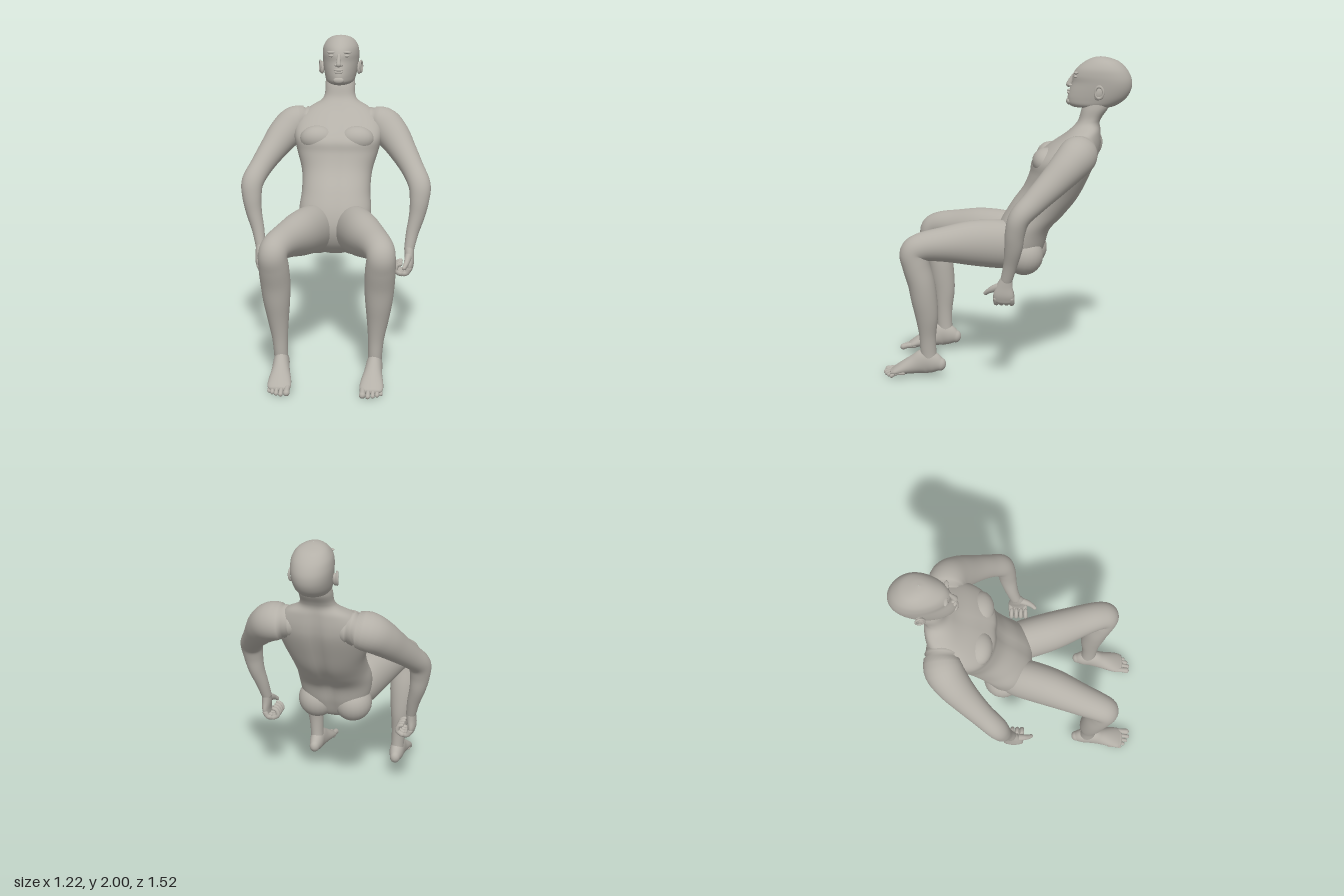
import * as THREE from 'three';

const skin = new THREE.MeshStandardMaterial({ color: 0xb4b0a8 });
skin.name = 'warm grey';
const SIDES = 32;
const V = (x, y, z) => new THREE.Vector3(x, y, z);

// Closed smooth surface through equal rings of points
function skinRings(rings) {
  const pos = [], idx = [], n = rings[0].length;
  rings.forEach(r => r.forEach(p => pos.push(p.x, p.y, p.z)));
  for (let i = 0; i < rings.length - 1; i++) {
    for (let j = 0; j < n; j++) {
      const a = i * n + j, b = i * n + (j + 1) % n;
      idx.push(a, b, b + n, a, b + n, a + n);
    }
  }
  const g = new THREE.BufferGeometry();
  g.setAttribute('position', new THREE.Float32BufferAttribute(pos, 3));
  g.setIndex(idx);
  g.computeVertexNormals();
  return g;
}

// Spline interpolation of rows of numbers
function smoothRows(rows, steps) {
  const out = [], at = i => rows[Math.max(0, Math.min(rows.length - 1, i))];
  for (let i = 0; i < rows.length - 1; i++) {
    for (let k = 0; k < steps; k++) {
      const t = k / steps;
      out.push(rows[i].map((_, c) => {
        const [p, q, r, s] = [-1, 0, 1, 2].map(o => at(i + o)[c]);
        return q + 0.5 * t * (r - p + t * (2 * p - 5 * q + 4 * r - s + t * (3 * (q - r) + s - p)));
      }));
    }
  }
  out.push(rows[rows.length - 1]);
  return out;
}

// Limb along a path; rows are [x, y, z, sideRadius, otherRadius], ends rounded
function limb(rows, steps = 5, sides = SIDES) {
  const s = smoothRows(rows, steps), rings = [];
  const ring = (c, t, a, b) => {
    const n1 = V(1, 0, 0).addScaledVector(t, -t.x).normalize();
    const n2 = t.clone().cross(n1);
    rings.push(Array.from({ length: sides }, (_, j) => {
      const th = j / sides * Math.PI * 2;
      return c.clone().addScaledVector(n1, a * Math.cos(th)).addScaledVector(n2, b * Math.sin(th));
    }));
  };
  s.forEach((r, i) => {
    const p = s[Math.max(0, i - 1)], q = s[Math.min(s.length - 1, i + 1)];
    const t = V(q[0] - p[0], q[1] - p[1], q[2] - p[2]).normalize();
    const c = V(r[0], r[1], r[2]), h = Math.min(r[3], r[4]);
    const cap = (k, d) => {
      const w = k / 5 * Math.PI / 2, m = Math.max(Math.cos(w), 0.001);
      ring(c.clone().addScaledVector(t, d * h * Math.sin(w)), t, r[3] * m, r[4] * m);
    };
    if (i === 0) for (let k = 5; k > 0; k--) cap(k, -1);
    ring(c, t, r[3], r[4]);
    if (i === s.length - 1) for (let k = 1; k <= 5; k++) cap(k, 1);
  });
  return skinRings(rings);
}

// Body from rows [frontY, frontZ, backY, backZ, halfWidth]
function body(rows, { taper = 0, square = 1, frontGroove = 0, backGroove = 0 }) {
  const pw = v => Math.sign(v) * Math.abs(v) ** square, n = 64;
  return skinRings(smoothRows(rows, 6).map(([fy, fz, by, bz, w]) =>
    Array.from({ length: n }, (_, j) => {
      const th = j / n * Math.PI * 2, f = -pw(Math.sin(th));
      const x = w * pw(Math.cos(th)) * (1 - taper * f);
      const groove = Math.exp(-((x / 0.035) ** 2)) * Math.min(1, w / 0.2);
      const k = f - (f > 0 ? frontGroove : -backGroove) * groove;
      return V(x, (fy + by) / 2 + k * (fy - by) / 2, (fz + bz) / 2 + k * (fz - bz) / 2);
    })));
}

export function createModel() {
  const model = new THREE.Group();
  model.name = 'seatedFigure';
  const add = (name, geo, parent = model) => {
    const m = new THREE.Mesh(geo, skin);
    m.name = name;
    parent.add(m);
    return m;
  };
  const blob = (name, x, y, z, rx, ry, rz, tilt = 0) => {
    const m = add(name, new THREE.SphereGeometry(1, 24, 16));
    m.position.set(x, y, z);
    m.scale.set(rx, ry, rz);
    m.rotation.x = tilt;
  };

  // Leaning torso and neck
  add('torso', body([
    [0.655, -0.08, 0.655, -0.11, 0.002], [0.67, -0.03, 0.67, -0.15, 0.09],
    [0.74, 0.04, 0.71, -0.19, 0.17], [0.84, 0.075, 0.80, -0.23, 0.215],
    [0.95, 0.055, 0.92, -0.27, 0.23], [1.07, -0.01, 1.02, -0.36, 0.22],
    [1.19, -0.095, 1.13, -0.445, 0.228], [1.29, -0.14, 1.26, -0.51, 0.262],
    [1.37, -0.16, 1.38, -0.56, 0.285], [1.45, -0.25, 1.46, -0.575, 0.27],
    [1.52, -0.35, 1.54, -0.575, 0.205], [1.565, -0.40, 1.59, -0.57, 0.125],
    [1.61, -0.435, 1.63, -0.585, 0.1], [1.68, -0.455, 1.69, -0.625, 0.098],
    [1.74, -0.48, 1.75, -0.64, 0.09],
  ], { square: 0.88, frontGroove: 0.04, backGroove: 0.1 }));

  // Head
  add('head', body([
    [1.69, -0.45, 1.69, -0.55, 0.002], [1.69, -0.41, 1.69, -0.60, 0.06],
    [1.71, -0.374, 1.70, -0.66, 0.088], [1.745, -0.368, 1.74, -0.72, 0.102],
    [1.79, -0.378, 1.79, -0.753, 0.112], [1.84, -0.395, 1.84, -0.762, 0.118],
    [1.885, -0.4, 1.885, -0.752, 0.119], [1.93, -0.425, 1.93, -0.725, 0.111],
    [1.97, -0.475, 1.97, -0.68, 0.085], [1.992, -0.52, 1.992, -0.62, 0.046],
    [2.0, -0.567, 2.0, -0.569, 0.001],
  ], { taper: 0.16 }));

  // Face
  add('nose', limb([[0, 1.885, -0.405, 0.011, 0.01], [0, 1.852, -0.388, 0.014, 0.016],
    [0, 1.828, -0.376, 0.018, 0.017]], 4, 20));
  blob('upperLip', 0, 1.792, -0.379, 0.032, 0.007, 0.013);
  blob('lowerLip', 0, 1.778, -0.377, 0.028, 0.008, 0.013);
  blob('chin', 0, 1.725, -0.378, 0.035, 0.022, 0.018);

  for (const s of [1, -1]) {
    const side = s > 0 ? 'left' : 'right';
    const mirror = rows => rows.map(([x, ...r]) => [x * s, ...r]);
    const part = (name, rows, steps, sides) => add(side + name, limb(mirror(rows), steps, sides));

    blob(side + 'Nostril', s * 0.017, 1.824, -0.386, 0.011, 0.009, 0.013);
    blob(side + 'Eye', s * 0.048, 1.879, -0.421, 0.02, 0.009, 0.012);
    blob(side + 'Brow', s * 0.05, 1.902, -0.424, 0.03, 0.009, 0.014);
    blob(side + 'Ear', s * 0.122, 1.785, -0.568, 0.016, 0.042, 0.026, -0.35);
    const rim = add(side + 'EarRim', new THREE.TorusGeometry(0.026, 0.007, 10, 24));
    rim.position.set(s * 0.134, 1.793, -0.57);
    rim.rotation.set(0, Math.PI / 2 - s * 0.25, 0);
    rim.scale.set(1, 1.35, 1);

    // Chest muscle and buttock
    blob(side + 'Chest', s * 0.125, 1.365, -0.255, 0.115, 0.085, 0.09, -0.5);
    blob(side + 'Buttock', s * 0.115, 0.765, -0.115, 0.12, 0.122, 0.12, -0.2);

    // Arm from shoulder to wrist
    part('Arm', [
      [0.17, 1.44, -0.46, 0.09, 0.10], [0.28, 1.43, -0.455, 0.115, 0.118],
      [0.355, 1.37, -0.40, 0.108, 0.108], [0.425, 1.28, -0.315, 0.088, 0.09],
      [0.49, 1.185, -0.22, 0.073, 0.075], [0.535, 1.10, -0.14, 0.071, 0.066],
      [0.537, 1.01, -0.112, 0.062, 0.06], [0.523, 0.91, -0.10, 0.051, 0.054],
      [0.495, 0.80, -0.078, 0.04, 0.042], [0.477, 0.70, -0.052, 0.032, 0.036],
    ]);

    // Curled hand
    part('Palm', [[0.477, 0.715, -0.055, 0.03, 0.034], [0.478, 0.66, -0.042, 0.03, 0.05],
      [0.482, 0.61, -0.036, 0.027, 0.062], [0.478, 0.575, -0.034, 0.022, 0.06]], 5, 24);
    for (let i = 0; i < 4; i++) {
      const z = -0.082 + i * 0.031;
      part('Finger', [[0.48, 0.585, z, 0.017, 0.017], [0.462, 0.557, z, 0.017, 0.017],
        [0.425, 0.553, z + 0.004, 0.016, 0.016], [0.395, 0.575, z + 0.006, 0.015, 0.015],
        [0.405, 0.607, z + 0.006, 0.013, 0.013], [0.425, 0.615, z + 0.006, 0.012, 0.012]], 4, 14);
    }
    part('Thumb', [[0.475, 0.665, -0.02, 0.024, 0.024], [0.468, 0.645, 0.025, 0.02, 0.022],
      [0.46, 0.628, 0.055, 0.016, 0.016], [0.448, 0.609, 0.078, 0.013, 0.013]], 4, 16);

    // Leg from hip over the bent knee to the ankle
    part('Leg', [
      [0.10, 0.80, -0.10, 0.10, 0.11], [0.128, 0.835, 0.0, 0.122, 0.15],
      [0.19, 0.855, 0.19, 0.121, 0.142], [0.262, 0.857, 0.37, 0.103, 0.108],
      [0.307, 0.848, 0.49, 0.092, 0.09], [0.322, 0.812, 0.543, 0.087, 0.086],
      [0.318, 0.73, 0.53, 0.091, 0.084], [0.312, 0.62, 0.50, 0.09, 0.083],
      [0.308, 0.51, 0.483, 0.081, 0.08], [0.302, 0.4, 0.47, 0.066, 0.07],
      [0.293, 0.28, 0.468, 0.049, 0.053], [0.288, 0.18, 0.466, 0.043, 0.05],
      [0.285, 0.11, 0.46, 0.043, 0.05],
    ], 6);

    // Foot and toes
    part('Foot', [
      [0.286, 0.088, 0.39, 0.034, 0.042], [0.285, 0.098, 0.43, 0.046, 0.066],
      [0.284, 0.105, 0.485, 0.05, 0.08], [0.28, 0.083, 0.55, 0.056, 0.062],
      [0.277, 0.058, 0.62, 0.068, 0.043], [0.276, 0.038, 0.67, 0.071, 0.029],
      [0.276, 0.031, 0.69, 0.064, 0.022],
    ]);
    [[0.226, 0.739, 0.02], [0.259, 0.747, 0.0145], [0.287, 0.735, 0.0135],
      [0.312, 0.717, 0.0125], [0.333, 0.695, 0.012]].forEach(([x, z, r]) =>
      part('Toe', [[x, 0.034, z - 0.075, r, r], [x, 0.029, z - 0.03, r * 0.85, r * 0.85],
        [x, r + 0.001, z, r, r]], 4, 14));
  }
  return model;
}
